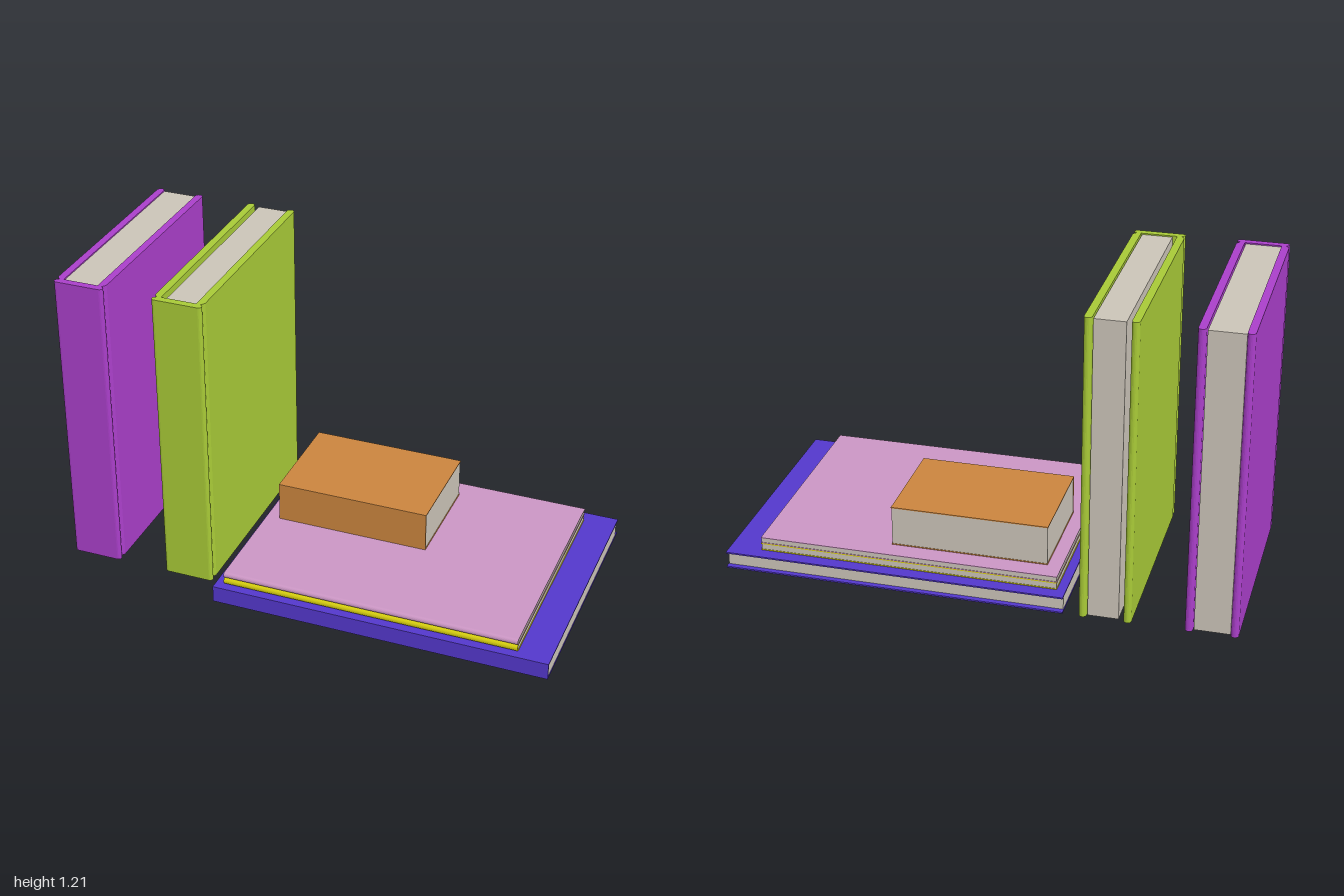
import * as THREE from 'three';

const PAPER = 0xcbc4b8;

// Extrude a cross-section (u = thickness, s = depth towards the back), centred on its length.
// Upright books run along y, lying books along x.
function extrude(name, points, length, color, upright) {
  const shape = new THREE.Shape(points.map(([u, s]) => new THREE.Vector2(u, s)));
  const geo = new THREE.ExtrudeGeometry(shape, { depth: length, bevelEnabled: false });
  geo.translate(0, 0, -length / 2);
  const back = new THREE.Vector3(0, 0, -1);
  const basis = upright
    ? new THREE.Matrix4().makeBasis(new THREE.Vector3(1, 0, 0), back, new THREE.Vector3(0, 1, 0))
    : new THREE.Matrix4().makeBasis(new THREE.Vector3(0, 1, 0), back, new THREE.Vector3(-1, 0, 0));
  geo.applyMatrix4(basis);
  const mesh = new THREE.Mesh(geo, new THREE.MeshStandardMaterial({ color }));
  mesh.name = name;
  return mesh;
}

// Close a half outline by mirroring it across u = 0
const mirror = (half) => [...half, ...half.map(([u, s]) => [-u, s]).reverse()];

// Points of an arc from angle a to b
function arc(cu, cs, r, a, b, n = 8) {
  return Array.from({ length: n + 1 }, (_, i) => {
    const t = a + ((b - a) * i) / n;
    return [cu + r * Math.cos(t), cs + r * Math.sin(t)];
  });
}

// Standing hardback: thick boards with rounded edges, hinge grooves and a spine at the front
function hardback(name, color, x, pageLeft, pageRight) {
  const book = new THREE.Group();
  book.name = name;
  const height = 1.205;
  const half = [
    ...arc(0.087, -0.377, 0.013, -Math.PI / 2, 0.4, 5),
    [0.094, -0.367], [0.087, -0.362], [0.094, -0.356], [0.1, -0.345],
    ...arc(0.085, 0.495, 0.015, 0, Math.PI),
    [0.07, -0.36],
  ];
  const cover = extrude('cover', mirror(half), height, color, true);
  const pages = extrude('pages', [
    [pageLeft, -0.36], [pageRight, -0.36], [pageRight, 0.5], [pageLeft, 0.5],
  ], height - 0.01, PAPER, true);
  book.add(cover, pages);
  book.position.set(x, height / 2, 0);
  return book;
}

// Lying book: thin wrapped cover with its spine at the front, square or rounded
function lyingBook(name, color, { x0, x1, y0, y1, front, back, skin, recess = 0.002, round = false }) {
  const book = new THREE.Group();
  book.name = name;
  const h = (y1 - y0) / 2, inner = h - skin;
  const spine = (r) => round
    ? arc(0, -front + h, r, -Math.PI / 2, 0)
    : [[r, -front + h - r]];
  const half = [...spine(h), [h, -back], [inner, -back], ...spine(inner).reverse()];
  // A round spine meets the mirror line, so walk the outer and inner curves in one loop
  const outline = round
    ? [...spine(h), [h, -back], [inner, -back], ...spine(inner).reverse(),
      ...spine(inner).slice(1).map(([u, s]) => [-u, s]),
      [-inner, -back], [-h, -back], ...spine(h).slice(1).reverse().map(([u, s]) => [-u, s])]
    : mirror(half);
  const length = x1 - x0;
  const cover = extrude('cover', outline, length, color, false);
  const pageHalf = [...spine(inner), [inner, -back - recess]];
  const pages = extrude('pages', mirror(round ? pageHalf.slice(1) : pageHalf), length - 0.004, PAPER, false);
  book.add(cover, pages);
  book.position.set((x0 + x1) / 2, (y0 + y1) / 2, 0);
  return book;
}

export function createModel() {
  const model = new THREE.Group();
  model.name = 'books';

  // Standing pair
  model.add(
    hardback('purpleBook', 0xaa3fca, -0.9, -0.07, 0.066),
    hardback('greenBook', 0xa8ca37, -0.5, -0.052, 0.066),
  );

  // Stack
  model.add(
    lyingBook('blueBook', 0x5438cc,
      { x0: -0.34, x1: 1, y0: 0, y1: 0.068, front: 0.508, back: -0.508, skin: 0.006, recess: 0.022 }),
    lyingBook('yellowBook', 0xd8d010,
      { x0: -0.305, x1: 0.873, y0: 0.068, y1: 0.098, front: 0.481, back: -0.455, skin: 0.004, round: true }),
    lyingBook('pinkBook', 0xcb96c4,
      { x0: -0.305, x1: 0.873, y0: 0.098, y1: 0.122, front: 0.481, back: -0.455, skin: 0.003, round: true }),
    lyingBook('orangeBook', 0xcb853e,
      { x0: -0.25, x1: 0.367, y0: 0.122, y1: 0.283, front: 0.053, back: -0.375, skin: 0.004 }),
  );
  return model;
}
